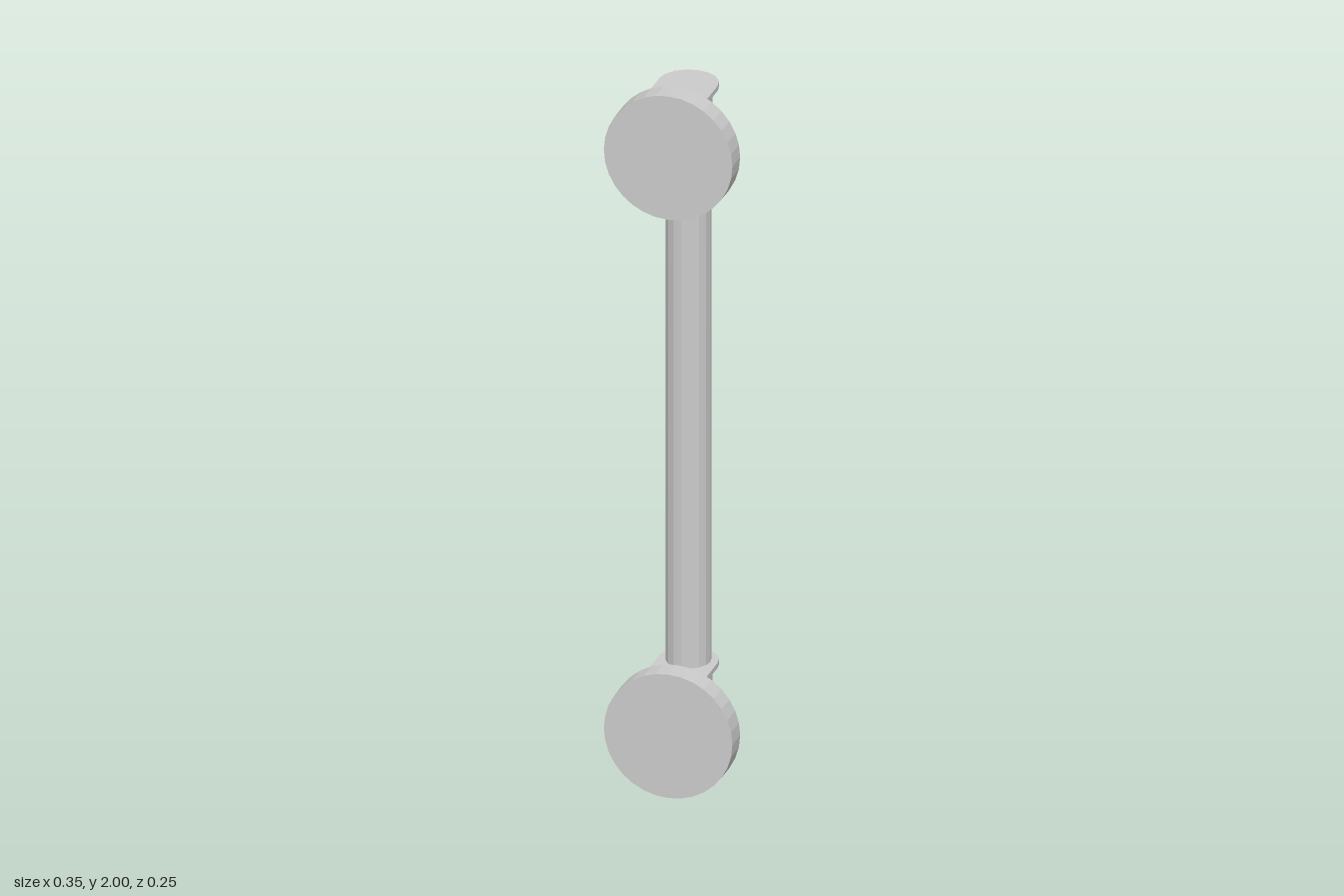
import * as THREE from 'three';

const material = new THREE.MeshStandardMaterial({ color: 0xcccccc, flatShading: true });
const ROD_Z = -0.045;
const PLATE_Z = 0.06;

function add(parent, name, geometry, x, y, z) {
  const mesh = new THREE.Mesh(geometry, material);
  mesh.name = name;
  mesh.position.set(x, y, z);
  parent.add(mesh);
  return mesh;
}

// Upright U-shaped block: flat against the plate, rounded around the rod
function uBlock(radius, height) {
  const shape = new THREE.Shape();
  shape.moveTo(-radius, -PLATE_Z);
  shape.lineTo(radius, -PLATE_Z);
  shape.lineTo(radius, -ROD_Z);
  shape.absarc(0, -ROD_Z, radius, 0, Math.PI, false);
  shape.closePath();
  const geometry = new THREE.ExtrudeGeometry(shape, { depth: height, bevelEnabled: false, curveSegments: 4 });
  geometry.rotateX(-Math.PI / 2);
  geometry.translate(0, -height / 2, 0);
  return geometry;
}

export function createModel() {
  const model = new THREE.Group();
  model.name = 'pullHandle';

  // Round bar running between the two brackets
  add(model, 'rod', new THREE.CylinderGeometry(0.06, 0.06, 1.6, 16), 0, 1, ROD_Z);

  // Bracket with round plate at each end
  const plate = new THREE.CylinderGeometry(0.176, 0.176, 0.065, 32).rotateX(Math.PI / 2);
  const body = uBlock(0.063, 0.26);
  const flange = uBlock(0.08, 0.014);
  for (const [end, plateY, bodyY] of [['lower', 0.176, 0.181], ['upper', 1.824, 1.826]]) {
    const bracket = new THREE.Group();
    bracket.name = end + 'Bracket';
    add(bracket, 'mountingPlate', plate, 0, plateY, PLATE_Z + 0.0325);
    add(bracket, 'bracketBody', body, 0, bodyY, 0);
    for (const side of [-1, 1]) {
      add(bracket, side < 0 ? 'bottomFlange' : 'topFlange', flange, 0, bodyY + side * 0.136, 0);
    }
    model.add(bracket);
  }
  return model;
}
